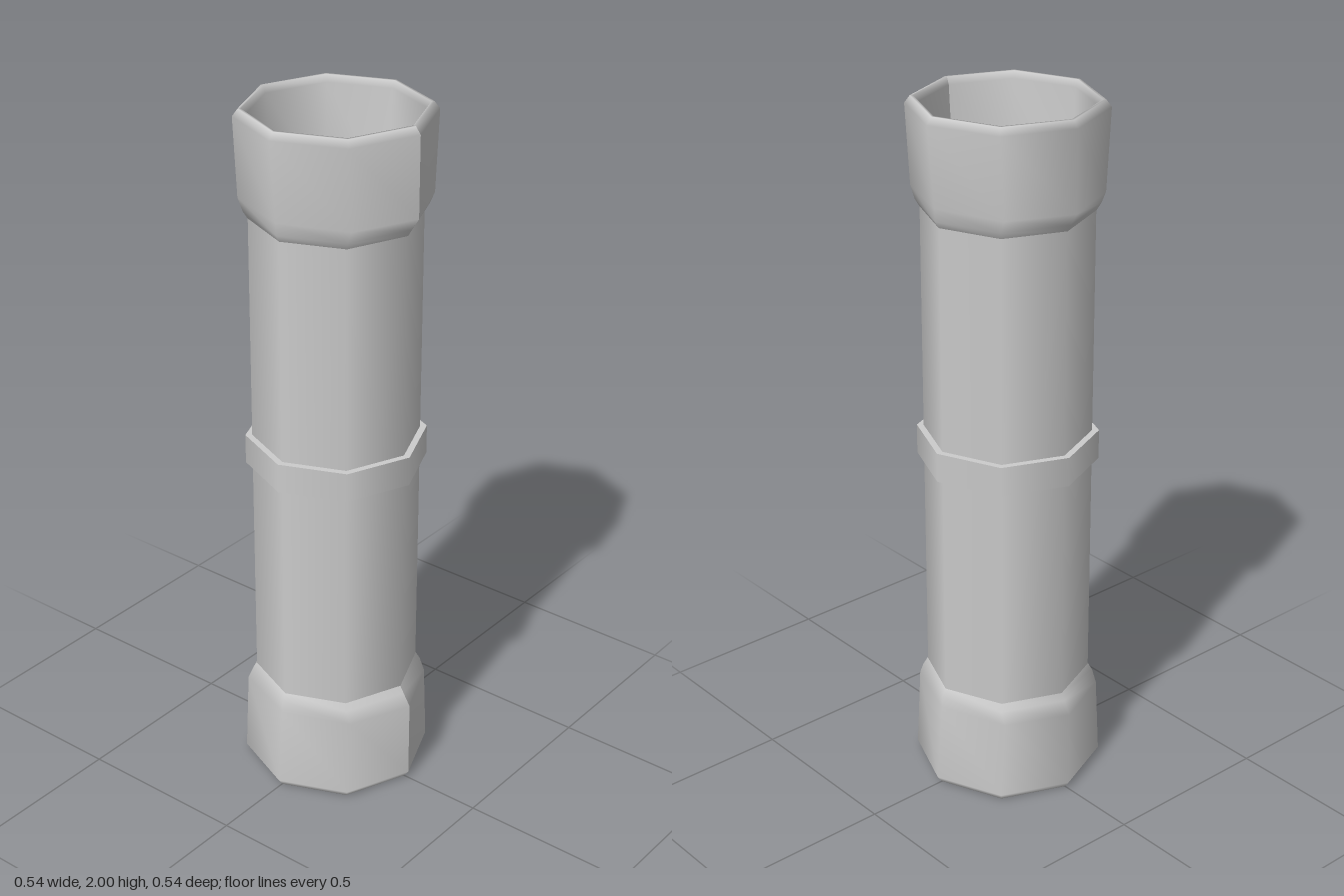
import * as THREE from 'three';

const SIDES = 8;
const material = new THREE.MeshStandardMaterial({ color: 0xcccccc, side: THREE.DoubleSide });

function part(name, geometry, y = 0) {
  const mesh = new THREE.Mesh(geometry, material);
  mesh.name = name;
  mesh.position.y = y;
  return mesh;
}

// Flared octagonal collar, rim at local y = 0, hollow down to its floor
function createCollar(name) {
  const shoulderY = -0.245, shoulderScale = 0.925;
  const profile = [
    [0.234, -0.3], [0.246, -0.28], [0.268, shoulderY], [0.268, -0.02],
    [0.253, 0], [0.245, 0], [0.238, -0.02], [0.22, -0.3],
  ].map(([r, y]) => new THREE.Vector2(r, y));
  const shell = new THREE.LatheGeometry(profile, SIDES);

  // The shoulder is narrower across x than across z
  const pos = shell.attributes.position;
  for (let i = 0; i < pos.count; i++) {
    if (Math.abs(pos.getY(i) - shoulderY) < 1e-4) pos.setX(i, pos.getX(i) * shoulderScale);
  }
  shell.computeVertexNormals();

  const collar = new THREE.Group();
  collar.name = name;
  collar.add(part('collarShell', shell));
  collar.add(part('collarFloor', new THREE.CircleGeometry(0.222, SIDES).rotateX(-Math.PI / 2), -0.298));
  collar.add(part('floorDisc', new THREE.CylinderGeometry(0.127, 0.127, 0.01, SIDES), -0.295));
  return collar;
}

export function createModel() {
  const model = new THREE.Group();
  model.name = 'octagonalColumn';

  // Shaft between the two collars
  model.add(part('shaft', new THREE.CylinderGeometry(0.233, 0.233, 1.4, SIDES, 1, true), 1.003));

  // Raised band around the middle
  model.add(part('middleBand', new THREE.CylinderGeometry(0.252, 0.252, 0.085, SIDES), 1.018));

  // Matching collars, the lower one turned upside down
  const top = createCollar('topCollar');
  top.position.y = 2;
  const bottom = createCollar('bottomCollar');
  bottom.rotation.z = Math.PI;
  bottom.scale.y = 1.03;
  model.add(top, bottom);

  return model;
}
